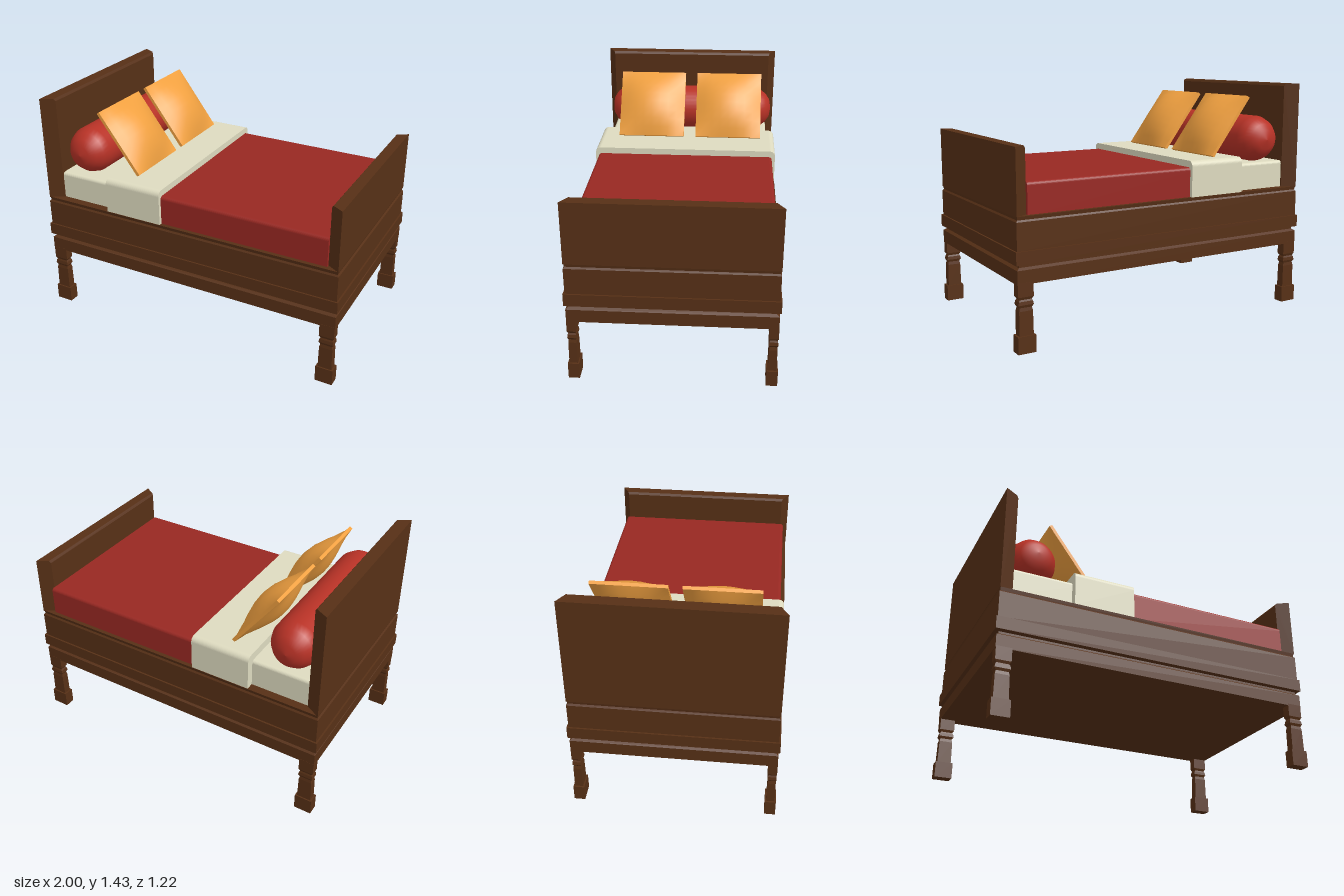
import * as THREE from 'three';

const paint = (color) => new THREE.MeshStandardMaterial({ color, side: THREE.DoubleSide });

// Stacks rectangles [y, halfX, halfZ] into a closed, flat-faced solid
function loftRects(levels) {
  const ring = ([y, hx, hz]) => [[hx, y, hz], [hx, y, -hz], [-hx, y, -hz], [-hx, y, hz]];
  const pos = [];
  const quad = (a, b, c, d) => pos.push(...a, ...b, ...c, ...a, ...c, ...d);
  const rings = levels.map(ring);
  for (let i = 0; i < rings.length - 1; i++) {
    for (let j = 0; j < 4; j++) {
      const k = (j + 1) % 4;
      quad(rings[i][j], rings[i][k], rings[i + 1][k], rings[i + 1][j]);
    }
  }
  const [a, b, c, d] = rings[0];
  quad(d, c, b, a);
  quad(...rings[rings.length - 1]);
  const g = new THREE.BufferGeometry();
  g.setAttribute('position', new THREE.Float32BufferAttribute(pos, 3));
  g.computeVertexNormals();
  return g;
}

// Upright end board: outer face at x = 0, mitred narrower towards the inner face
function boardGeometry(height, thick, halfZ) {
  const s = new THREE.Shape();
  s.moveTo(0, 0);
  s.lineTo(thick, 0);
  s.lineTo(thick, height - 0.015);
  s.lineTo(thick - 0.01, height);
  s.lineTo(0, height);
  const g = new THREE.ExtrudeGeometry(s, { depth: 2 * halfZ, bevelEnabled: false });
  g.translate(0, 0, -halfZ);
  const p = g.attributes.position;
  for (let i = 0; i < p.count; i++) p.setZ(i, p.getZ(i) * (1 - 0.08 * p.getX(i) / thick));
  g.computeVertexNormals();
  return g;
}

// Bedding slab running along x with rounded upper long edges
function slabGeometry(x0, x1, halfZ, y0, y1, r) {
  const s = new THREE.Shape();
  s.moveTo(-halfZ, y0);
  s.lineTo(halfZ, y0);
  s.lineTo(halfZ, y1 - r);
  s.absarc(halfZ - r, y1 - r, r, 0, Math.PI / 2, false);
  s.absarc(-halfZ + r, y1 - r, r, Math.PI / 2, Math.PI, false);
  const g = new THREE.ExtrudeGeometry(s, { depth: x1 - x0, bevelEnabled: false, curveSegments: 5 });
  g.rotateY(Math.PI / 2);
  g.translate(x0, 0, 0);
  return g;
}

// Square cushion: thin at the rim, swollen in the middle
function pillowGeometry(height, width) {
  const g = new THREE.BoxGeometry(0.02, height, width, 1, 8, 8);
  const p = g.attributes.position;
  for (let i = 0; i < p.count; i++) {
    const u = p.getY(i) / (height / 2), v = p.getZ(i) / (width / 2);
    const swell = 0.075 * (1 - u * u) * (1 - v * v);
    p.setX(i, p.getX(i) + Math.sign(p.getX(i)) * swell);
  }
  g.computeVertexNormals();
  return g;
}

export function createModel() {
  const model = new THREE.Group();
  model.name = 'bed';
  const wood = paint(0x573016);
  const linen = paint(0xdedbc0);
  const red = paint(0x982822);
  const bolsterRed = paint(0xb83226);
  const orange = paint(0xf0a040);

  const add = (name, geometry, material, x = 0, y = 0, z = 0) => {
    const m = new THREE.Mesh(geometry, material);
    m.name = name;
    m.position.set(x, y, z);
    model.add(m);
    return m;
  };

  // Moulded frame: [height, inset]
  const moulding = [
    [0.39, 0.008], [0.47, 0.008], [0.482, 0.025], [0.495, 0.025], [0.5, 0],
    [0.575, 0], [0.575, 0.01], [0.735, 0.01], [0.745, 0.018], [0.765, 0.014],
  ];
  add('frame', loftRects(moulding.map(([y, d]) => [y, 1 - d, 0.61 - d])), wood);

  // Turned-looking legs, deeper along x than z
  const legProfile = [
    [0, 0.054, 0.033], [0.1, 0.054, 0.033], [0.1, 0.043, 0.025], [0.24, 0.041, 0.024],
    [0.26, 0.036, 0.021], [0.275, 0.046, 0.027], [0.295, 0.042, 0.025], [0.305, 0.036, 0.021],
    [0.32, 0.046, 0.027], [0.4, 0.046, 0.027],
  ];
  const leg = loftRects(legProfile);
  for (const sx of [-1, 1]) {
    for (const sz of [-1, 1]) {
      add((sx > 0 ? 'foot' : 'head') + (sz > 0 ? 'FrontLeg' : 'BackLeg'), leg, wood, sx * 0.944, 0, sz * 0.576);
    }
  }

  // End boards
  add('headboard', boardGeometry(0.668, 0.085, 0.6), wood, -0.987, 0.762, 0);
  add('footboard', boardGeometry(0.378, 0.077, 0.6), wood, 0.987, 0.762, 0).rotation.y = Math.PI;

  // Bedding
  add('mattress', slabGeometry(-0.903, -0.5, 0.545, 0.76, 0.935, 0.02), linen);
  add('sheetFold', slabGeometry(-0.54, -0.16, 0.593, 0.76, 0.985, 0.035), linen);
  add('blanket', slabGeometry(-0.2, 0.911, 0.572, 0.76, 0.945, 0.02), red);

  // Bolster with domed ends
  const end = [[0, 0.562], [0.06, 0.552], [0.1, 0.525], [0.13, 0.485], [0.147, 0.435]];
  const outline = [...end.map(([r, z]) => [r, -z]), ...end.reverse()];
  const bolster = new THREE.LatheGeometry(outline.map(([r, z]) => new THREE.Vector2(r, z)), 32);
  add('bolster', bolster, bolsterRed, -0.756, 1.078, -0.012).rotation.x = Math.PI / 2;

  // Leaning pillows
  const pillow = pillowGeometry(0.455, 0.44);
  for (const [name, z] of [['leftPillow', 0.243], ['rightPillow', -0.277]]) {
    add(name, pillow, orange, -0.522, 1.169, z).rotation.z = 0.645;
  }
  return model;
}
